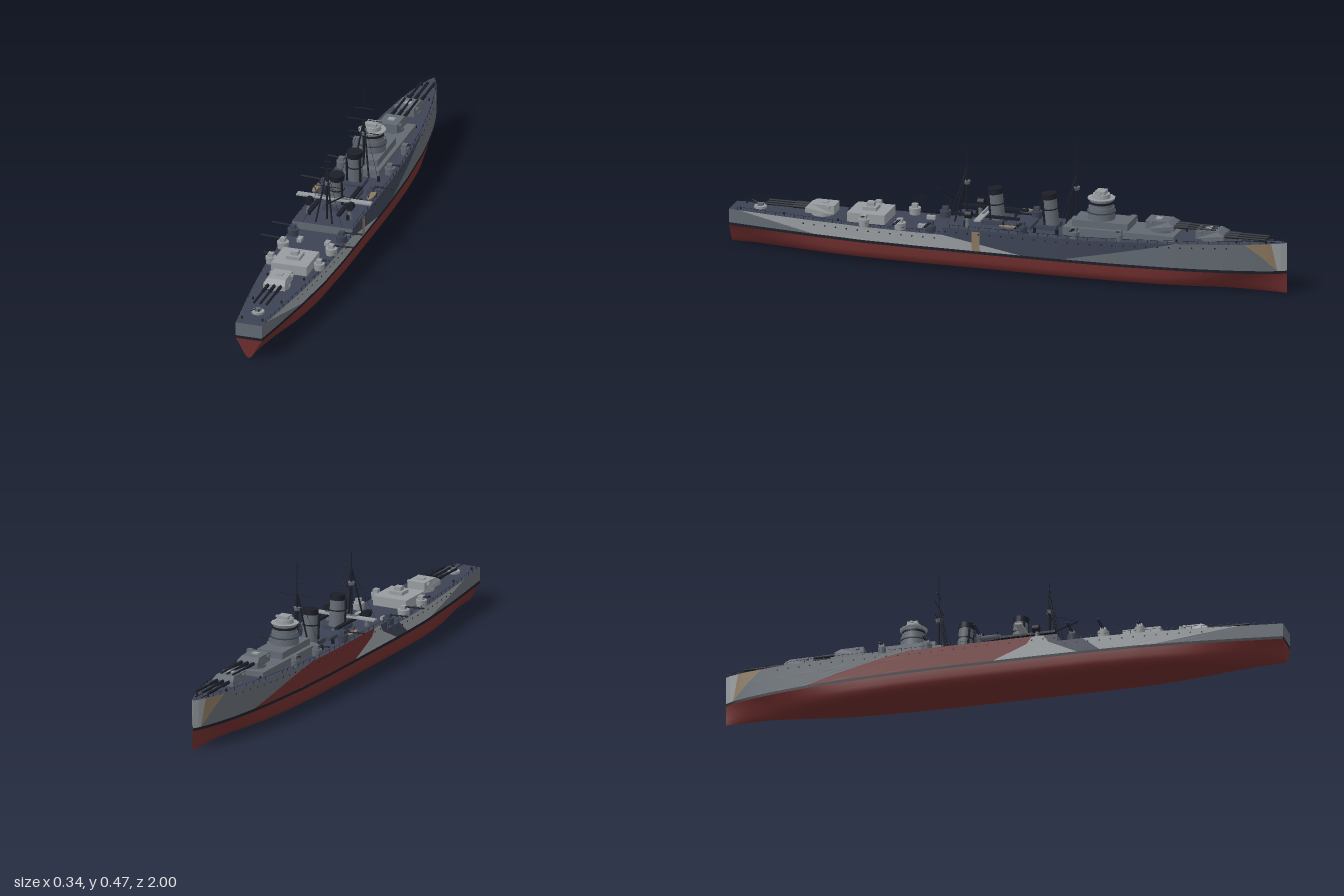
import * as THREE from 'three';

const mat = (name, color) => new THREE.MeshStandardMaterial({ name, color, side: THREE.DoubleSide });
const M = {
  red: mat('hull red', 0x6e2d2d), navy: mat('deck navy', 0x3d4354), light: mat('light grey', 0x979ca0),
  mid: mat('mid grey', 0x626971), black: mat('black', 0x1c1e28), tan: mat('tan', 0x8a7860),
};
const lerp = THREE.MathUtils.lerp, clamp = THREE.MathUtils.clamp;

// half beam along the ship, bow at z = -1
const BEAM = [[-1, 0.001], [-0.98, 0.013], [-0.94, 0.028], [-0.88, 0.045], [-0.8, 0.062], [-0.7, 0.078], [-0.6, 0.09],
  [-0.4, 0.104], [-0.2, 0.11], [0.3, 0.11], [0.5, 0.104], [0.7, 0.086], [0.85, 0.068], [1, 0.048]];
function halfBeam(z) {
  let i = 1;
  while (i < BEAM.length - 1 && z > BEAM[i][0]) i++;
  const [a, b] = [BEAM[i - 1], BEAM[i]];
  return lerp(a[1], b[1], clamp((z - a[0]) / (b[0] - a[0]), 0, 1));
}
const STEP = 0.21, WATER = 0.08, STRAKE = 0.128;
const foreDeck = z => z > -0.3 ? 0.155 : lerp(0.155, 0.18, (-0.3 - z) / 0.7);
const deckY = z => z > STEP ? STRAKE : foreDeck(z);

export function createModel() {
  const ship = new THREE.Group();
  ship.name = 'warship';

  function add(name, geo, m, x = 0, y = 0, z = 0, parent = ship) {
    const mesh = new THREE.Mesh(geo, m);
    mesh.name = name;
    mesh.position.set(x, y, z);
    parent.add(mesh);
    return mesh;
  }
  const box = (name, w, h, d, m, x, y, z, p) => add(name, new THREE.BoxGeometry(w, h, d), m, x, y + h / 2, z, p);
  const cyl = (name, r1, r2, h, m, x, y, z, p, n = 16) => add(name, new THREE.CylinderGeometry(r1, r2, h, n), m, x, y + h / 2, z, p);
  function rod(name, a, b, r, m, p = ship, n = 6) {
    const A = new THREE.Vector3(...a), B = new THREE.Vector3(...b), d = B.clone().sub(A);
    const mesh = add(name, new THREE.CylinderGeometry(r, r, d.length(), n), m, 0, 0, 0, p);
    mesh.position.copy(A.add(B).multiplyScalar(0.5));
    mesh.quaternion.setFromUnitVectors(new THREE.Vector3(0, 1, 0), d.normalize());
    return mesh;
  }
  // grid surface from a function of u, v in 0..1
  function surf(name, fn, nu, nv, m) {
    const pos = [], idx = [];
    for (let i = 0; i <= nu; i++) for (let j = 0; j <= nv; j++) {
      pos.push(...fn(i / nu, j / nv));
      if (i < nu && j < nv) {
        const a = i * (nv + 1) + j, b = a + nv + 1;
        idx.push(a, b, a + 1, b, b + 1, a + 1);
      }
    }
    const g = new THREE.BufferGeometry();
    g.setAttribute('position', new THREE.Float32BufferAttribute(pos, 3));
    g.setIndex(idx);
    g.computeVertexNormals();
    return add(name, g, m);
  }

  // underwater section: full amidships, V-shaped at the ends
  const FULL = [[1, 0.07], [1, 0.042], [0.96, 0.027], [0.87, 0.015], [0.72, 0.009], [0, 0.002]];
  const FINE = [[1, 0.07], [0.78, 0.055], [0.58, 0.038], [0.38, 0.02], [0.18, 0.005], [0, 0]];
  function bottomPoint(side, z, v) {
    const j = Math.round(v * 5), w = halfBeam(z), f = THREE.MathUtils.smoothstep(w, 0.045, 0.1);
    return [side * w * lerp(FINE[j][0], FULL[j][0], f), lerp(FINE[j][1], FULL[j][1], f), z];
  }

  // camouflage: [colour, end z at waterline, at main deck, at forecastle deck], from stern to bow
  const CAMO = {
    1: [['mid', 0.68, 0.96, 0.96], ['light', -0.07, 0.21, 0.21], ['navy', -0.22, -0.45, -0.62],
      ['mid', -0.97, -0.92, -0.86], ['tan', -0.97, -0.96, -0.95], ['light', -1, -1, -1]],
    '-1': [['mid', 0.55, 0.85, 0.85], ['light', 0.36, 0.3, 0.21], ['navy', 0.28, 0.18, 0.16], ['light', -0.02, 0.1, 0.12],
      ['red', -0.7, -0.48, -0.32], ['mid', -0.97, -0.92, -0.86], ['tan', -0.97, -0.96, -0.95], ['light', -1, -1, -1]],
  };
  for (const s of [1, -1]) {
    surf('hullBottom', (u, v) => bottomPoint(s, lerp(1, -1, u), v), 80, 5, M.red);
    surf('bootStripe', (u, v) => { const z = lerp(1, -1, u); return [s * halfBeam(z), lerp(0.07, WATER, v), z]; }, 80, 1, M.black);
    let prev = [1, 1, 1];
    for (const [c, ...end] of CAMO[s]) {
      const from = prev;
      surf('hullSide', (u, v) => {
        const z = lerp(lerp(from[0], from[1], v), lerp(end[0], end[1], v), u);
        return [s * halfBeam(z), lerp(WATER, STRAKE, v), z];
      }, 24, 4, M[c]);
      if (end[2] < STEP) surf('forecastleSide', (u, v) => {
        const z = Math.min(STEP, lerp(lerp(from[1], from[2], v), lerp(end[1], end[2], v), u));
        return [s * halfBeam(z), lerp(STRAKE, foreDeck(z), v), z];
      }, 24, 3, M[c]);
      prev = end;
    }
    // portholes and guard rails
    for (let z = -0.8; z < 0.75; z += 0.04) {
      const x = s * (halfBeam(z) + 0.0005);
      add('porthole', new THREE.CylinderGeometry(0.0028, 0.0028, 0.002, 8).rotateZ(Math.PI / 2), M.black, x, deckY(z) - 0.014, z);
    }
    for (let i = 0; i < 56; i++) {
      const z = -0.985 + i * 0.0355, z2 = z + 0.0355, x = s * (halfBeam(z) - 0.002), y = deckY(z);
      box('railPost', 0.0012, 0.011, 0.0012, M.black, x, y, z);
      if (z2 < 1 && (z > STEP) === (z2 > STEP))
        rod('railWire', [x, y + 0.011, z], [s * (halfBeam(z2) - 0.002), deckY(z2) + 0.011, z2], 0.0005, M.black, ship, 4);
    }
  }
  surf('sidePatch', (u, v) => { const z = lerp(0.075, 0.105, u); return [halfBeam(z) + 0.001, lerp(WATER, 0.15, v), z]; }, 1, 1, M.tan);
  // decks, step bulkhead and transom
  surf('mainDeck', (u, v) => { const z = lerp(1, STEP, u); return [lerp(-1, 1, v) * halfBeam(z), STRAKE, z]; }, 30, 1, M.navy);
  surf('forecastleDeck', (u, v) => { const z = lerp(STEP, -1, u); return [lerp(-1, 1, v) * halfBeam(z), foreDeck(z), z]; }, 60, 1, M.navy);
  surf('stepBulkhead', (u, v) => [lerp(-0.11, 0.11, u), lerp(STRAKE, 0.155, v), STEP], 1, 1, M.mid);
  surf('transom', (u, v) => [lerp(-0.048, 0.048, u), lerp(WATER, STRAKE, v), 1], 1, 1, M.mid);
  surf('transomStripe', (u, v) => [lerp(-0.048, 0.048, u), lerp(0.07, WATER, v), 1], 1, 1, M.black);
  surf('transomBottom', (u, v) => { const p = bottomPoint(1, 1, v); return [p[0] * (2 * u - 1), p[1], 1]; }, 2, 5, M.red);

  // triple gun turret, barrels along local +z
  function turret(name, y, z, fore, m) {
    const g = new THREE.Group();
    g.name = name;
    const s = new THREE.Shape([[-0.05, 0], [0.052, 0], [0.052, 0.018], [0.03, 0.031], [-0.05, 0.031]].map(p => new THREE.Vector2(...p)));
    const geo = new THREE.ExtrudeGeometry(s, { depth: 0.08, bevelEnabled: false }).rotateY(-Math.PI / 2).translate(0.04, 0, 0);
    const p = geo.attributes.position;
    for (let i = 0; i < p.count; i++) if (p.getY(i) > 0.02 || p.getZ(i) < -0.04) p.setX(i, p.getX(i) * 0.84);
    geo.computeVertexNormals();
    cyl('barbette', 0.04, 0.04, 0.016, m, 0, -0.012, 0, g, 20);
    add('gunhouse', geo, m, 0, 0.004, 0, g);
    box('rangefinder', 0.086, 0.008, 0.01, m, 0, 0.024, -0.03, g);
    box('roofHatch', 0.024, 0.004, 0.02, M.light, 0, 0.035, -0.01, g);
    for (const x of [-0.023, 0, 0.023]) {
      rod('barrel', [x, 0.018, 0.03], [x, 0.018, 0.2], 0.0042, M.black, g, 10);
      rod('barrelSleeve', [x, 0.018, 0.045], [x, 0.018, 0.1], 0.0062, M.black, g, 10);
    }
    g.position.set(0, y, z);
    if (fore) g.rotation.y = Math.PI;
    ship.add(g);
  }
  turret('foreTurret', 0.172, -0.73, true, M.mid);
  turret('upperForeTurret', 0.19, -0.55, true, M.mid);
  turret('aftTurret', STRAKE + 0.006, 0.675, false, M.light);

  // forward superstructure and bridge tower
  box('foreHouse', 0.13, 0.034, 0.4, M.mid, 0, 0.15, -0.41);
  box('foreHouseUpper', 0.1, 0.024, 0.2, M.mid, 0, 0.184, -0.34);
  cyl('towerBase', 0.046, 0.05, 0.05, M.mid, 0, 0.2, -0.33, ship, 12);
  cyl('towerWalkway', 0.052, 0.052, 0.004, M.navy, 0, 0.232, -0.33, ship, 12);
  cyl('towerMiddle', 0.041, 0.043, 0.028, M.mid, 0, 0.25, -0.33, ship, 12);
  cyl('bridgeWindows', 0.0425, 0.0425, 0.008, M.black, 0, 0.262, -0.33, ship, 12);
  cyl('towerPlatform', 0.049, 0.046, 0.006, M.light, 0, 0.276, -0.33, ship, 12);
  cyl('towerTop', 0.03, 0.032, 0.016, M.light, 0, 0.28, -0.33);
  box('director', 0.04, 0.014, 0.036, M.light, 0, 0.294, -0.33);
  box('directorArms', 0.066, 0.007, 0.009, M.light, 0, 0.297, -0.33);

  // funnels with a raked pipe and dark cap
  for (const z of [-0.14, 0.055]) {
    const f = new THREE.Group();
    f.name = 'funnel';
    cyl('funnelPipe', 0.025, 0.027, 0.115, M.mid, 0, 0, 0, f, 20);
    cyl('funnelCap', 0.027, 0.027, 0.02, M.black, 0, 0.108, 0, f, 20);
    cyl('funnelBand', 0.0275, 0.0275, 0.004, M.black, 0, 0.07, 0, f, 20);
    for (const s of [-1, 1]) cyl('steamPipe', 0.004, 0.004, 0.11, M.black, s * 0.024, 0, 0.018, f, 6);
    f.position.set(0, 0.153, z - 0.012);
    f.rotation.x = 0.09;
    ship.add(f);
    box('funnelBase', 0.075, 0.018, 0.075, M.navy, 0, 0.153, z);
  }

  // tripod masts with yards and stays
  function mast(name, z, apex, top, yards) {
    const g = new THREE.Group();
    g.name = name;
    rod('pole', [0, 0.155, z], [0, apex, z], 0.0038, M.black, g);
    rod('topmast', [0, apex - 0.02, z], [0, top, z], 0.0018, M.black, g);
    for (const s of [-1, 1]) {
      rod('leg', [s * 0.03, 0.153, z + 0.035], [0, apex, z], 0.003, M.black, g);
      rod('stay', [s * 0.07, 0.156, z + 0.05], [0, apex, z], 0.0006, M.black, g, 4);
    }
    for (const [y, h] of yards) rod('yard', [-h, y, z], [h, y, z], 0.0014, M.black, g);
    cyl('lookout', 0.013, 0.01, 0.012, M.mid, 0, apex - 0.06, z, g, 10);
    ship.add(g);
  }
  mast('foreMast', -0.24, 0.36, 0.475, [[0.4, 0.033], [0.357, 0.066], [0.308, 0.055]]);
  mast('mainMast', 0.155, 0.345, 0.405, [[0.372, 0.015], [0.346, 0.028], [0.278, 0.05]]);
  rod('derrickBoom', [0, 0.215, 0.17], [0.088, 0.288, 0.232], 0.0026, M.black);
  rod('derrickCable', [0.088, 0.288, 0.232], [0, 0.28, 0.155], 0.0007, M.black, ship, 4);

  // catapult and cross beam amidships
  box('catapult', 0.014, 0.008, 0.24, M.black, 0.052, 0.187, 0.07);
  box('catapult', 0.014, 0.008, 0.24, M.black, -0.052, 0.187, 0.07);
  box('crossBeam', 0.27, 0.006, 0.024, M.light, 0, 0.195, 0.078);
  box('crossBeamStripe', 0.12, 0.003, 0.008, M.mid, 0, 0.201, 0.078);

  // after deckhouse
  box('aftHouse', 0.13, 0.034, 0.135, M.light, 0, STRAKE, 0.5);
  box('aftHouseTop', 0.05, 0.012, 0.05, M.light, 0, 0.162, 0.5);
  box('aftDirector', 0.026, 0.016, 0.026, M.light, 0, 0.172, 0.5);
  cyl('sternMount', 0.022, 0.022, 0.008, M.light, 0, STRAKE, 0.9);
  box('sternGun', 0.018, 0.01, 0.018, M.mid, 0, 0.135, 0.9);
  for (const s of [-1, 1]) rod('sternBarrel', [s * 0.005, 0.143, 0.9], [s * 0.012, 0.15, 0.935], 0.0015, M.black);

  // paired fittings on both sides
  for (const s of [-1, 1]) {
    // secondary guns: z, tub radius, tip x, colour
    for (const [z, r, tip, c] of [[-0.42, 0.014, 0.11, 'mid'], [-0.26, 0.018, 0.138, 'mid'], [-0.07, 0.019, 0.172, 'navy'],
      [0.26, 0.02, 0.165, 'navy'], [0.37, 0.021, 0.168, 'light'], [0.5, 0.019, 0.115, 'light']]) {
      const y = deckY(z), x = s * 0.088, h = z > -0.2 && z < 0 ? 0.026 : 0.024;
      cyl('gunTub', r, r * 0.9, h, M[c], x, y, z);
      box('gunShield', 0.018, 0.014, 0.02, M[c], x, y + h, z);
      for (const d of [-0.003, 0.003]) rod('smallBarrel', [x, y + h + 0.01, z + d], [s * tip, y + h + 0.014, z + d], 0.0018, M.black);
    }
    // searchlights facing aft
    cyl('searchlightStand', 0.006, 0.01, 0.034, M.mid, s * 0.075, 0.153, 0.13);
    rod('searchlight', [s * 0.075, 0.2, 0.115], [s * 0.075, 0.2, 0.138], 0.014, M.black, ship, 16);
    // boats
    const boat = add('boat', new THREE.SphereGeometry(1, 12, 8, 0, Math.PI * 2, Math.PI / 2, Math.PI / 2).scale(0.011, 0.014, 0.04), M.mid, s * 0.1, 0.178, -0.03);
    add('boatCover', new THREE.CircleGeometry(1, 16).rotateX(-Math.PI / 2).scale(0.011, 1, 0.04), M.tan, boat.position.x, 0.1785, -0.03);
    for (const z of [-0.055, -0.005]) rod('davit', [s * 0.085, 0.155, z], [s * 0.1, 0.192, z], 0.0014, M.black);
    // ventilators, bollards and lockers
    for (const z of [-0.19, -0.11, 0.0, 0.14]) cyl('ventilator', 0.006, 0.006, 0.018, M.black, s * 0.07, 0.154, z, ship, 8);
    for (const z of [-0.93, -0.83, -0.62, 0.6, 0.8, 0.96]) cyl('bollard', 0.0035, 0.0035, 0.008, M.black, s * halfBeam(z) * 0.7, deckY(z), z, ship, 8);
    box('locker', 0.016, 0.012, 0.03, M.light, s * 0.05, STRAKE, 0.3);
    box('anchorChain', 0.003, 0.002, 0.12, M.black, s * 0.012, 0.178, -0.9).rotation.x = 0.035;
  }
  box('midHouse', 0.1, 0.014, 0.08, M.navy, 0, 0.154, -0.05);
  return ship;
}
